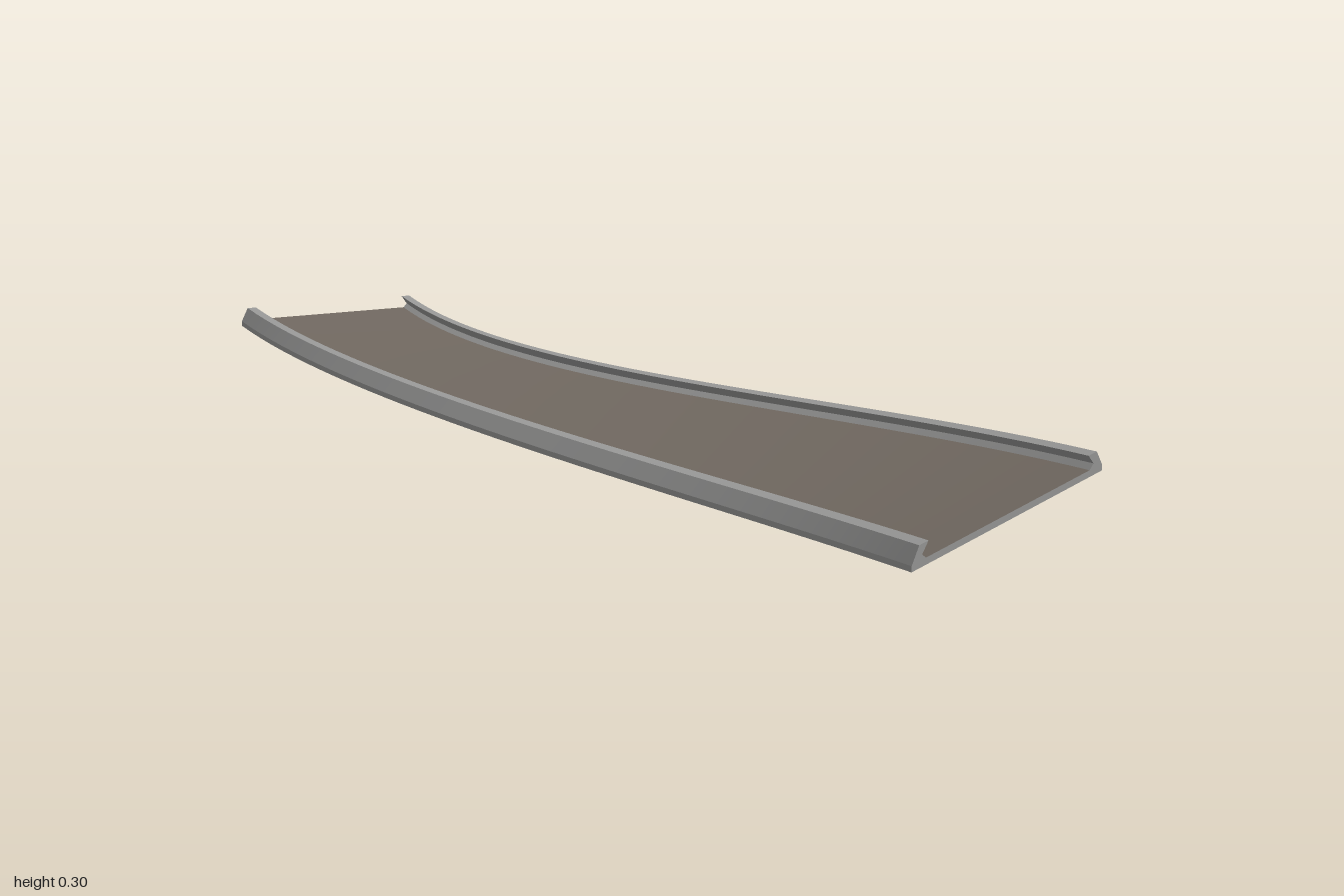
import * as THREE from 'three';

const SEGMENTS = 40;
const smooth = (t) => t * t * (3 - 2 * t);

// right half of the section (across, up), counter-clockwise from the bottom corner;
// the kerb leans inward and overhangs the road
const half = [[0.25, 0], [0.25, 0.012], [0.233, 0.045], [0.21, 0.045], [0.225, 0.024], [0.215, 0.014]];
const section = [...half, ...half.map(([s, h]) => [-s, h]).reverse()];

// place a section point on the banked S-shaped path; t runs from back (0) to front (1)
function place([s, h], t) {
  const slope = 1.5 * t * (1 - t);
  const len = Math.hypot(1, slope);
  const u = 1 - t;
  const x = -0.25 + 0.5 * smooth(t) + s / len;
  const z = -1 + 2 * t - (s * slope) / len;
  const y = 0.065 + 0.19 * u * u + 0.26 * s * smooth(t) + h;
  return [x, y, z];
}

function geometry(positions, index) {
  const g = new THREE.BufferGeometry();
  g.setAttribute('position', new THREE.Float32BufferAttribute(positions, 3));
  g.setIndex(index);
  g.computeVertexNormals();
  return g;
}

// sweep section edges first..last-1 along the path, each edge with its own
// vertices so it is smooth lengthwise and sharp crosswise
function sweep(first, last) {
  const positions = [], index = [];
  for (let j = first; j < last; j++) {
    const base = positions.length / 3;
    const p = section[j % section.length], q = section[(j + 1) % section.length];
    for (let i = 0; i <= SEGMENTS; i++) {
      positions.push(...place(p, i / SEGMENTS), ...place(q, i / SEGMENTS));
      if (i === SEGMENTS) continue;
      const a = base + 2 * i;
      index.push(a, a + 1, a + 2, a + 1, a + 3, a + 2);
    }
  }
  return geometry(positions, index);
}

// flat end of the track
function cap(t) {
  const outline = section.map(([s, h]) => new THREE.Vector2(s, h));
  const faces = THREE.ShapeUtils.triangulateShape(outline, []);
  const index = faces.flatMap(([a, b, c]) => (t === 1 ? [a, b, c] : [a, c, b]));
  return geometry(section.flatMap((p) => place(p, t)), index);
}

export function createModel() {
  const group = new THREE.Group();
  const road = new THREE.MeshStandardMaterial({ color: 0x6f675f });
  road.name = 'road brown';
  const grey = new THREE.MeshStandardMaterial({ color: 0x979796 });
  grey.name = 'kerb grey';

  const add = (name, geo, material) => {
    const mesh = new THREE.Mesh(geo, material);
    mesh.name = name;
    group.add(mesh);
  };
  add('roadSurface', sweep(5, 6), road);
  add('leftKerb', sweep(0, 5), grey);
  add('rightKerb', sweep(6, 11), grey);
  add('underside', sweep(11, 12), grey);
  add('frontEnd', cap(1), grey);
  add('backEnd', cap(0), grey);
  return group;
}
